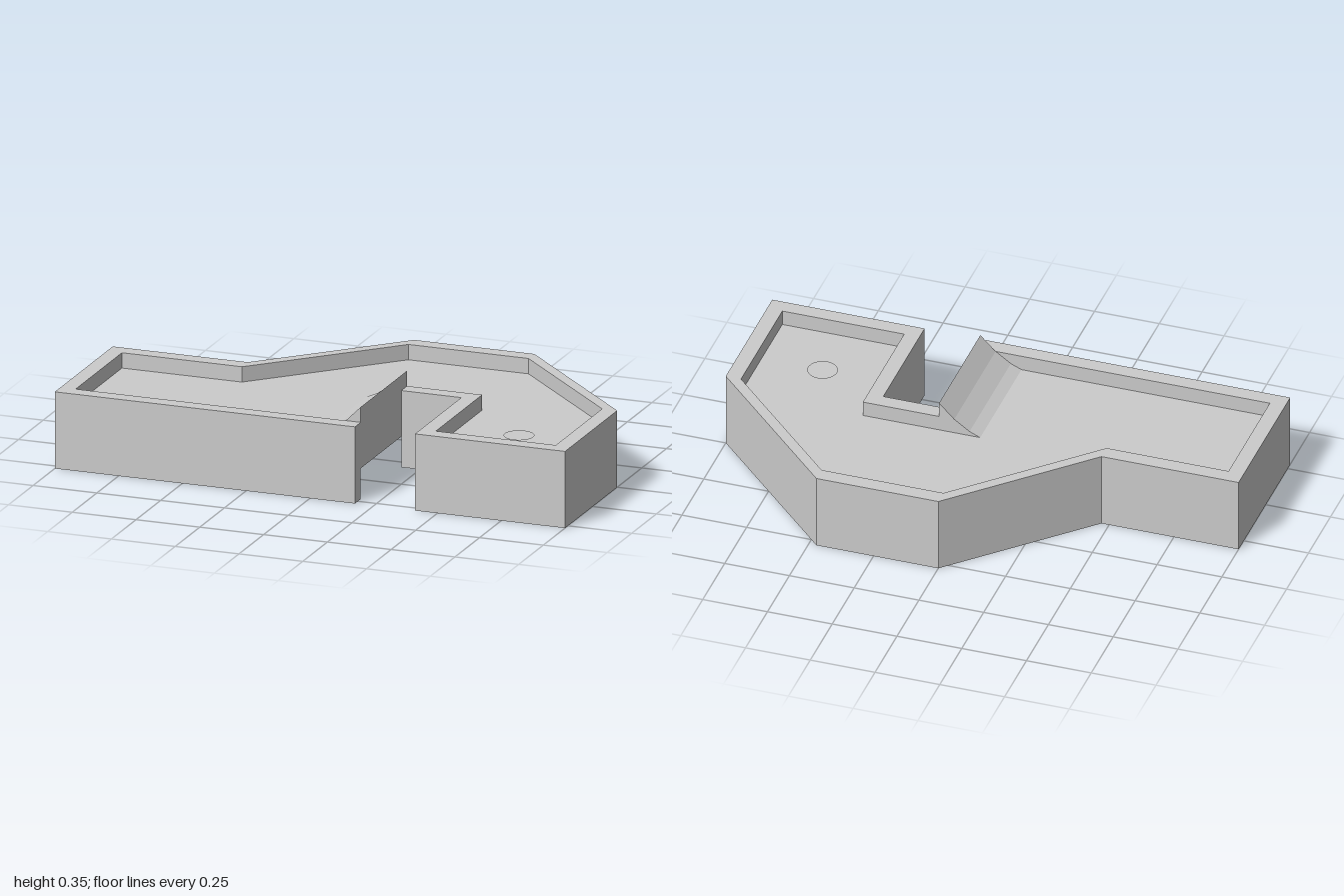
import * as THREE from 'three';

const U = 1 / 17; // modular unit: wall thickness

const material = new THREE.MeshStandardMaterial({ color: 0xcccccc, flatShading: true });

// Plan shape from [x, z] points in units
function planShape(points) {
  return new THREE.Shape(points.map(([x, z]) => new THREE.Vector2(x * U, -z * U)));
}

// Upright slab between two heights
function slab(name, shape, y0, y1) {
  const geometry = new THREE.ExtrudeGeometry(shape, {
    depth: (y1 - y0) * U, bevelEnabled: false, curveSegments: 16,
  });
  geometry.rotateX(-Math.PI / 2);
  geometry.translate(0, y0 * U, 0);
  const mesh = new THREE.Mesh(geometry, material);
  mesh.name = name;
  return mesh;
}

export function createModel() {
  const group = new THREE.Group();
  group.name = 'slottedTray';

  // Inner face of the wall, from the open slot edge round to the slot's back wall
  const inner = [
    [3, 8], [-16, 8], [-16, 0], [-8, 0], [0, -8], [8, -8],
    [16, 0], [16, 8], [8, 8], [8, 0], [3, 0],
  ];
  // Outer face, returning the other way
  const outer = [
    [3, 1], [7, 1], [7, 9], [17, 9], [17, 0], [8, -9],
    [0, -9], [-8, -1], [-17, -1], [-17, 9], [3, 9],
  ];
  group.add(slab('perimeterWall', planShape([...inner, ...outer]), 0, 5));

  // Floor, recessed from above and below, with a blind round hole
  group.add(slab('lowerFloor', planShape(inner), 2, 3));
  const upper = planShape(inner);
  const hole = new THREE.Path();
  hole.absarc(12 * U, -4 * U, 0.93 * U, 0, Math.PI * 2, true);
  upper.holes.push(hole);
  group.add(slab('upperFloor', upper, 3, 4));

  // Concave ramp rising to the slot edge
  const profile = [[0.3, 4], [1, 4.3], [2, 5], [3, 6], [3, 4]];
  const rampShape = new THREE.Shape(profile.map(([x, y]) => new THREE.Vector2(x * U, y * U)));
  const ramp = new THREE.Mesh(
    new THREE.ExtrudeGeometry(rampShape, { depth: 8 * U, bevelEnabled: false }), material);
  ramp.name = 'slotRamp';
  group.add(ramp);

  return group;
}
